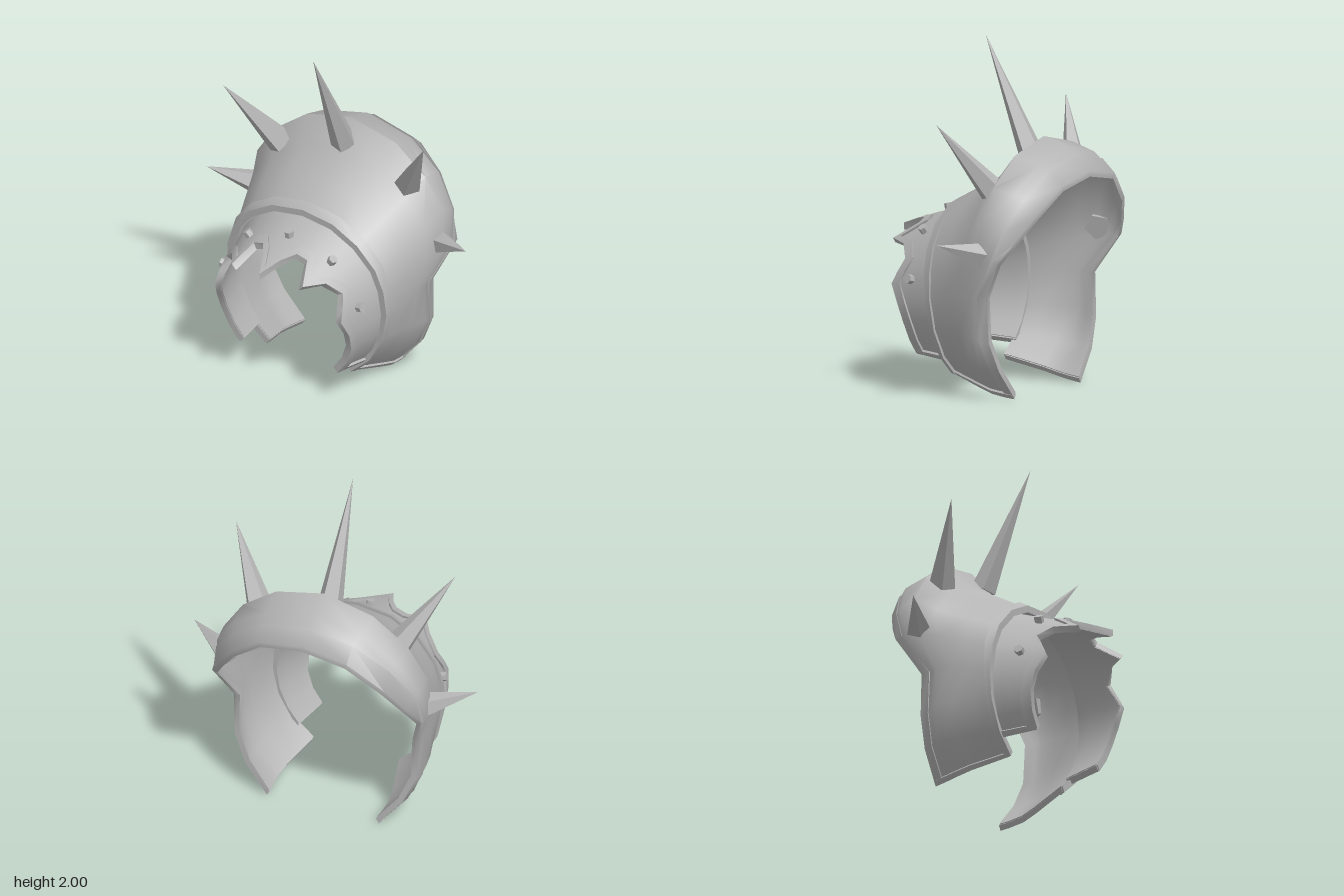
import * as THREE from 'three';
import { toCreasedNormals } from 'three/addons/utils/BufferGeometryUtils.js';

const V = (x, y, z) => new THREE.Vector3(x, y, z);
const steel = new THREE.MeshStandardMaterial({ color: 0xb4b4b4 });
steel.name = 'steel';

// Moves a point away from the long axis of the armour
function push(p, d) {
  const r = V(0, p.y - 0.57, p.z).normalize();
  return p.clone().addScaledVector(r, d);
}

// Solid plate from columns of outer points: raised outside, offset inside, capped ends
function plate(name, columns, raise, depth) {
  const loops = columns.map(c => [
    ...c.map(p => push(p, raise)),
    ...c.map(p => push(p, -depth)).reverse(),
  ]);
  const n = loops[0].length, pos = [], index = [];
  loops.forEach(l => l.forEach(p => pos.push(p.x, p.y, p.z)));
  for (let i = 0; i < loops.length - 1; i++) {
    for (let k = 0; k < n; k++) {
      const a = i * n + k, b = i * n + (k + 1) % n;
      index.push(a, a + n, b, b, a + n, b + n);
    }
  }
  const e = (loops.length - 1) * n;
  for (let k = 0; k < n / 2 - 1; k++) {
    const m = n - 1 - k;
    index.push(k, k + 1, m, k + 1, m - 1, m);
    index.push(e + k, e + m, e + k + 1, e + k + 1, e + m, e + m - 1);
  }
  const g = new THREE.BufferGeometry();
  g.setAttribute('position', new THREE.Float32BufferAttribute(pos, 3));
  g.setIndex(index);
  const mesh = new THREE.Mesh(toCreasedNormals(g, 1.0), steel);
  mesh.name = name;
  return mesh;
}

// Half outlines of the main shell, crown to lower edge, as [x, y, z]
const narrowEnd = [[-.17, 1.08, 0], [-.17, 1.05, .2], [-.165, .96, .36], [-.15, .83, .47], [-.14, .7, .515],
  [-.13, .55, .525], [-.12, .38, .49], [-.115, .22, .4], [-.115, .115, .28]];
const middle = [[.18, 1.29, 0], [.18, 1.25, .25], [.18, 1.13, .45], [.18, .97, .58], [.16, .79, .61],
  [.1, .6, .58], [.1, .38, .56], [.1, .2, .475], [.1, .06, .34]];
const bulge = [[.31, 1.455, 0], [.31, 1.385, .3], [.3, 1.23, .51], [.3, 1.05, .63], [.27, .82, .65],
  [.19, .6, .58], [.19, .38, .58], [.19, .18, .5], [.19, .035, .355]];
const shoulder = [[.47, 1.41, 0], [.465, 1.34, .29], [.44, 1.2, .5], [.4, 1.02, .625], [.34, .82, .655],
  [.215, .6, .575], [.225, .36, .575], [.24, .18, .495], [.25, .025, .352]];
const crease = [[.545, 1.355, 0], [.53, 1.3, .27], [.49, 1.16, .48], [.43, .99, .61], [.37, .82, .65],
  [.235, .6, .57], [.245, .35, .57], [.27, .18, .49], [.285, .02, .35]];
const rim = [[.62, 1.275, 0], [.61, 1.225, .27], [.545, 1.06, .47], [.475, .92, .575], [.415, .815, .64],
  [.29, .6, .56], [.3, .35, .555], [.32, .18, .48], [.335, .015, .345]];

// Mirrors half outlines into columns running from the back edge over the crown
function mirrorColumns(rows) {
  const cols = [];
  for (let i = -8; i <= 8; i++) {
    cols.push(rows.map(r => {
      const [x, y, z] = r[Math.abs(i)];
      return V(x, y, i < 0 ? -z : z);
    }));
  }
  return cols;
}

const mix = (r, s, t) => r.map((p, i) => p.map((v, k) => v + (s[i][k] - v) * t));

// Cuff surface at distance x along the axis and angle (degrees) from the crown
function cuffPoint(x, deg) {
  const d = -0.15 - x, a = THREE.MathUtils.degToRad(deg), r = 0.5 - 0.27 * d;
  return V(x, 0.55 - 0.12 * d + r * Math.cos(a), r * Math.sin(a));
}

// Jagged cuff edge: [angle, x]
const jag = [[0, -.62], [8, -.49], [15, -.41], [24, -.405], [36, -.54], [46, -.42], [60, -.36], [70, -.4],
  [78, -.43], [92, -.38], [106, -.345], [121, -.33], [134, -.325]];

export function createModel() {
  const model = new THREE.Group();
  model.name = 'spikedArmGuard';

  // Main shell and its raised edges
  const rows = [narrowEnd, mix(narrowEnd, middle, 0.5), middle, bulge, shoulder, crease, rim];
  const columns = mirrorColumns(rows);
  model.add(plate('mainShell', columns, 0, 0.025));
  model.add(plate('flaredRimTrim', mirrorColumns([crease, mix(crease, rim, 1.03)]), 0.01, 0.015));
  model.add(plate('narrowEndTrim', mirrorColumns([mix(narrowEnd, middle, -0.05), mix(narrowEnd, middle, 0.1)]), 0.018, 0.02));

  // Strips along the two lower edges of the shell
  for (const [a, b] of [[0, 1], [16, 15]]) {
    const edge = columns[a].map((p, i) => p.clone().lerp(columns[b][i], -0.03));
    const inset = columns[a].map((p, i) => p.clone().lerp(columns[b][i], 0.12));
    model.add(plate('lowerEdgeTrim', a === 0 ? [edge, inset] : [inset, edge], 0.012, 0.02));
  }

  // Jagged cuff tucked under the narrow end
  const edge = [...jag.slice(1).reverse().map(([a, x]) => [-a, x]), ...jag];
  const cuff = edge.map(([a, x]) => [0, 0.35, 0.7, 1].map(t => cuffPoint(THREE.MathUtils.lerp(x, -0.1, t), a)));
  model.add(plate('jaggedCuff', cuff, 0, 0.03));
  model.add(plate('jaggedTrim', edge.map(([a, x]) => [cuffPoint(x - 0.005, a), cuffPoint(x + 0.055, a)]), 0.014, 0.025));
  for (const s of [-1, 1]) {
    const strip = [s < 0 ? -135 : 131, s < 0 ? -131 : 135]
      .map(a => [-.325, -.21, -.1].map(x => cuffPoint(x, a)));
    model.add(plate('cuffLowerTrim', strip, 0.012, 0.025));
  }

  // Five-sided spikes from base point to tip
  const up = V(0, 1, 0);
  function spike(name, base, tip, radius) {
    const dir = tip.clone().sub(base), len = dir.length();
    const g = new THREE.ConeGeometry(radius, len, 5).toNonIndexed();
    g.computeVertexNormals();
    const mesh = new THREE.Mesh(g, steel);
    mesh.name = name;
    mesh.position.copy(base).addScaledVector(dir, 0.5);
    mesh.quaternion.setFromUnitVectors(up, dir.normalize());
    model.add(mesh);
  }
  spike('crownSpike', V(.235, 1.33, 0), V(-.077, 2, 0), 0.075);
  for (const s of [-1, 1]) {
    spike('shoulderSpike', V(.245, 1.19, .43 * s), V(.025, 1.585, .68 * s), 0.08);
    spike('sideSpike', V(.29, .85, .6 * s), V(.155, .935, .88 * s), 0.078);
  }

  // Hexagonal rivets around the cuff
  for (const [deg, x] of [[0, -.32], [37, -.31], [-37, -.31], [76, -.29], [-76, -.29]]) {
    const a = THREE.MathUtils.degToRad(deg);
    const g = new THREE.CylinderGeometry(0.027, 0.027, 0.05, 6).toNonIndexed();
    g.computeVertexNormals();
    const mesh = new THREE.Mesh(g, steel);
    mesh.name = 'rivet';
    mesh.position.copy(push(cuffPoint(x, deg), 0.01));
    mesh.quaternion.setFromUnitVectors(up, V(-0.2, Math.cos(a), Math.sin(a)).normalize());
    model.add(mesh);
  }

  // The whole guard is turned slightly
  model.rotation.y = 0.08;
  model.position.z = 0.02;
  const root = new THREE.Group();
  root.name = 'armGuard';
  root.add(model);
  return root;
}
